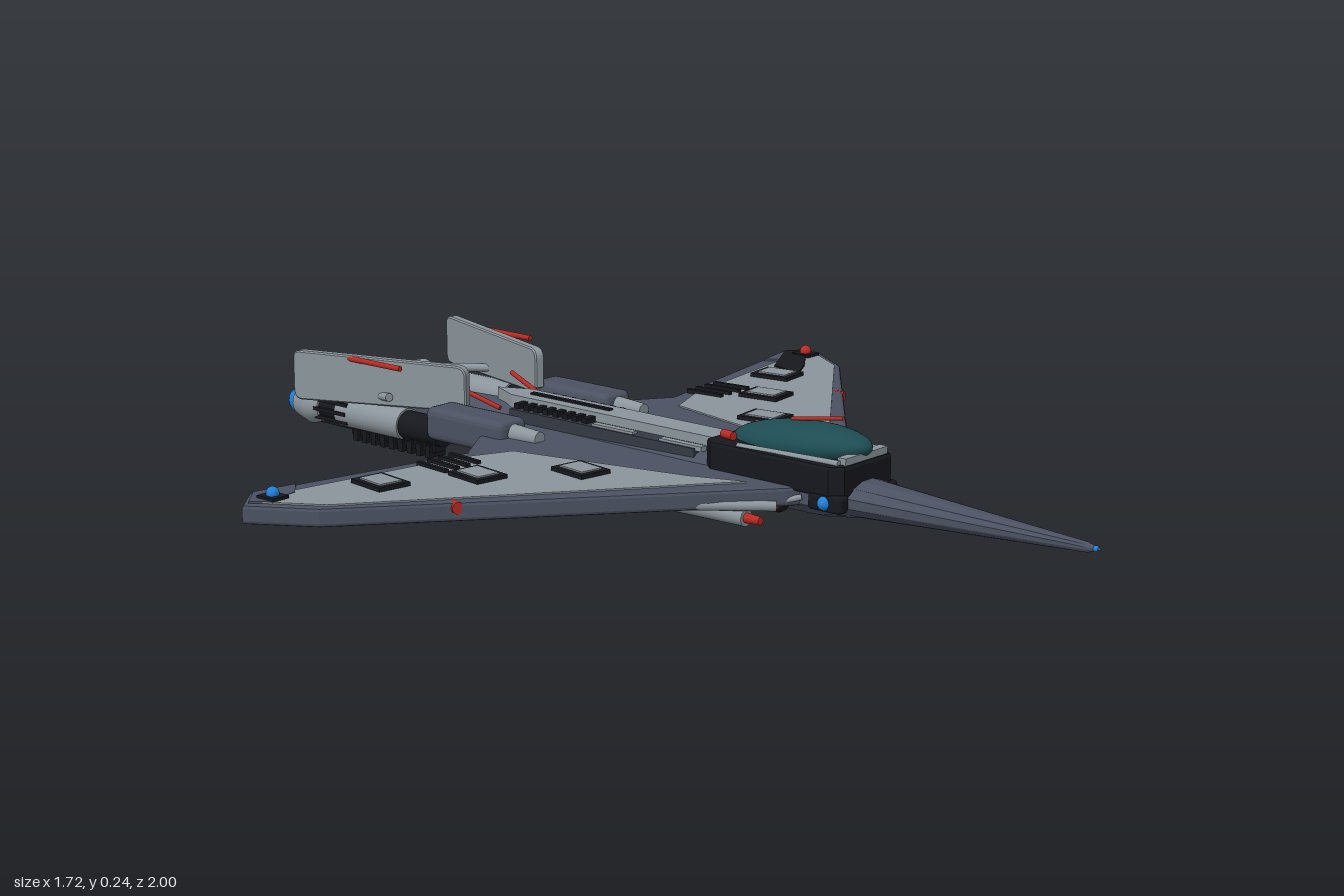
import * as THREE from 'three';
import { RoundedBoxGeometry } from 'three/addons/geometries/RoundedBoxGeometry.js';

const paint = (name, color, flatShading = false) => {
  const m = new THREE.MeshStandardMaterial({ color, flatShading });
  m.name = name;
  return m;
};

export function createModel() {
  const root = new THREE.Group();
  root.name = 'starfighter';
  const light = paint('light grey', 0x8b959b);
  const slate = paint('slate', 0x4b5161, true);
  const dark = paint('dark slate', 0x343944);
  const black = paint('black', 0x17181e);
  const red = paint('red', 0xb82a22);
  const blue = paint('blue glow', 0x2080d8);
  const teal = paint('canopy teal', 0x1d4c52);

  const add = (name, geo, mat, x = 0, y = 0, z = 0, ry = 0) => {
    const m = new THREE.Mesh(geo, mat);
    m.name = name;
    m.position.set(x, y, z);
    m.rotation.y = ry;
    root.add(m);
    return m;
  };
  const box = (name, mat, w, h, d, x, y, z, ry = 0) =>
    add(name, new THREE.BoxGeometry(w, h, d), mat, x, y, z, ry);
  const rbox = (name, mat, w, h, d, x, y, z, r = 0.01) =>
    add(name, new RoundedBoxGeometry(w, h, d, 2, r), mat, x, y, z);
  const ball = (name, mat, r, x, y, z) =>
    add(name, new THREE.SphereGeometry(r, 16, 12), mat, x, y, z);
  // cylinder lying along z, from front z0 to back z1
  const tube = (name, mat, r0, r1, z0, z1, x, y) =>
    add(name, new THREE.CylinderGeometry(r0, r1, z0 - z1, 20).rotateX(Math.PI / 2), mat, x, y, (z0 + z1) / 2);
  const rod = (name, mat, r, a, b) => {
    const p = new THREE.Vector3(...a), q = new THREE.Vector3(...b);
    const m = add(name, new THREE.CylinderGeometry(r, r, p.distanceTo(q), 10), mat);
    m.position.copy(p).add(q).multiplyScalar(0.5);
    m.quaternion.setFromUnitVectors(new THREE.Vector3(0, 1, 0), q.sub(p).normalize());
    return m;
  };
  // horizontal plate from [x, z] outline
  const plate = (name, mat, pts, s, y, h, bevel = 0) => {
    const shape = new THREE.Shape(pts.map(([x, z]) => new THREE.Vector2(s * x, -z)));
    const geo = new THREE.ExtrudeGeometry(shape, {
      depth: h, bevelEnabled: bevel > 0, bevelSize: bevel, bevelThickness: bevel, bevelOffset: -bevel, bevelSegments: 2,
    });
    return add(name, geo.rotateX(-Math.PI / 2), mat, 0, y);
  };
  // hull lofted from stations [z, half width, bottom, top], front to back
  const loft = (name, mat, stations, n = 12) => {
    const pos = [], idx = [];
    stations.forEach(([z, w, lo, hi], i) => {
      for (let j = 0; j < n; j++) {
        const a = ((j + 0.5) / n) * Math.PI * 2;
        pos.push(w * Math.cos(a) * 1.03, (lo + hi) / 2 + ((hi - lo) / 2) * Math.sin(a) * 1.03, z);
        if (i === 0) continue;
        const k = (j + 1) % n, p = (i - 1) * n, q = i * n;
        idx.push(p + j, q + j, p + k, p + k, q + j, q + k);
      }
    });
    const g = new THREE.BufferGeometry();
    g.setAttribute('position', new THREE.Float32BufferAttribute(pos, 3));
    g.setIndex(idx);
    g.computeVertexNormals();
    return add(name, g, mat);
  };

  // Fuselage with needle nose and tapering tail
  loft('fuselage', slate, [
    [1, 0.001, 0.087, 0.089], [0.97, 0.009, 0.078, 0.097], [0.47, 0.06, 0.052, 0.125],
    [0.4, 0.078, 0.042, 0.132], [0.1, 0.085, 0.04, 0.135], [-0.42, 0.075, 0.04, 0.13],
    [-0.82, 0.048, 0.05, 0.118], [-0.9, 0.042, 0.055, 0.113], [-0.9, 0.001, 0.084, 0.085]]);
  ball('noseTip', blue, 0.006, 0, 0.088, 0.988);

  // Belly tray and grille
  rbox('bellyTray', dark, 0.11, 0.04, 0.56, 0, 0.04, -0.08);
  for (const z of [-0.29, 0.05]) box('bellyPanel', black, 0.08, 0.008, 0.1, 0, 0.02, z);
  box('bellyGrille', light, 0.085, 0.012, 0.19, 0, 0.014, -0.175);
  for (let i = 0; i < 6; i++) box('grilleBar', black, 0.007, 0.008, 0.17, -0.035 + i * 0.014, 0.004, -0.175);

  // Dorsal spine
  plate('spine', light, [[-0.032, 0.15], [0.032, 0.15], [0.032, -0.43], [0, -0.5], [-0.032, -0.43]], 1, 0.12, 0.033);
  box('spineBed', dark, 0.136, 0.03, 0.5, 0, 0.119, -0.15);
  for (let i = 0; i < 8; i++) box('spineRib', black, 0.118, 0.03, 0.014, 0, 0.13, -0.2 - i * 0.027);
  box('spineVent', black, 0.012, 0.006, 0.22, 0, 0.154, -0.29);
  box('tailPanel', light, 0.062, 0.012, 0.13, 0, 0.118, -0.685);

  // Cockpit tub, canopy and trim
  plate('cockpitFrame', black, [[-0.072, 0.475], [0.072, 0.475], [0.09, 0.45], [0.09, 0.16],
    [0.07, 0.135], [-0.07, 0.135], [-0.09, 0.16], [-0.09, 0.45]], 1, 0.108, 0.048, 0.008);
  const canopy = add('canopy', new THREE.SphereGeometry(1, 32, 20), teal, 0, 0.172, 0.315);
  canopy.scale.set(0.066, 0.042, 0.165);
  canopy.rotation.x = -0.08;
  box('canopySill', light, 0.13, 0.014, 0.02, 0, 0.17, 0.462);
  rod('canopyStripe', red, 0.004, [0, 0.234, 0.415], [0, 0.213, 0.29]);

  for (const s of [1, -1]) {
    // Wing with raised skin panel
    plate('wing', slate, [[0.05, 0.39], [0.1, 0.36], [0.78, -0.2], [0.858, -0.325], [0.79, -0.382],
      [0.31, -0.285], [0.08, -0.44], [0.05, -0.44]], s, 0.078, 0.024, 0.007);
    plate('wingPanel', light, [[0.125, 0.28], [0.76, -0.2], [0.825, -0.305], [0.74, -0.325],
      [0.36, -0.262], [0.25, -0.215], [0.165, 0.17]], s, 0.105, 0.007);
    plate('wingTipCap', slate, [[0.74, -0.31], [0.82, -0.3], [0.842, -0.325], [0.79, -0.37], [0.7, -0.352]], s, 0.107, 0.006);
    for (const [x, z] of [[0.595, -0.23], [0.435, -0.13], [0.28, -0.005]]) {
      const a = s * 0.14;
      box('hatchFrame', black, 0.072, 0.012, 0.092, s * x, 0.114, z, a);
      box('hatchCover', light, 0.05, 0.006, 0.068, s * x, 0.12, z, a);
    }
    for (let i = 0; i < 4; i++)
      box('wingSlot', black, 0.01, 0.009, 0.088, s * (0.362 + i * 0.029), 0.114, -0.238, s * 0.1);
    // Navigation lights
    box('tipLightBase', black, 0.04, 0.012, 0.045, s * 0.795, 0.112, -0.31);
    ball('tipLight', s > 0 ? red : blue, 0.013, s * 0.795, 0.122, -0.31);
    rod('edgeLight', red, 0.012, [s * 0.568, 0.098, -0.075], [s * 0.583, 0.098, -0.035]);

    // Leading edge strut, gun and under-wing red spar
    rod('leadingStrut', light, 0.01, [s * 0.35, 0.085, 0.12], [s * 0.12, 0.075, 0.35]);
    rod('gunBrace', light, 0.006, [s * 0.08, 0.09, 0.38], [s * 0.16, 0.055, 0.26]);
    tube('gun', light, 0.017, 0.02, 0.31, 0.12, s * 0.16, 0.053);
    tube('gunTip', red, 0.008, 0.01, 0.345, 0.31, s * 0.16, 0.053);
    rod('redSpar', red, 0.0105, [s * 0.1, 0.05, -0.19], [s * 0.365, 0.052, -0.348]);

    // Cockpit side fittings
    rbox('sidePod', black, 0.03, 0.035, 0.08, s * 0.076, 0.09, 0.44, 0.008);
    ball('sidePodLight', blue, 0.014, s * 0.088, 0.09, 0.44);
    ball('sideSensor', black, 0.022, s * 0.088, 0.075, 0.33);
    ball('sideSensorLight', red, 0.01, s * 0.107, 0.072, 0.335);
    rod('cockpitRail', light, 0.007, [s * 0.07, 0.166, 0.46], [s * 0.078, 0.162, 0.22]);
    rod('canopyHinge', red, 0.009, [s * 0.055, 0.172, 0.19], [s * 0.05, 0.172, 0.16]);
    for (const z of [-0.12, 0.06]) box('spineSidePanel', light, 0.016, 0.01, 0.11, s * 0.056, 0.134, z);
    rod('tailAntenna', red, 0.005, [s * 0.065, 0.13, -0.43], [s * 0.083, 0.163, -0.54]);

    // Side engine body
    const x = s * 0.157;
    tube('engineIntake', light, 0.015, 0.02, -0.23, -0.31, x, 0.115);
    rbox('nacelle', slate, 0.08, 0.07, 0.22, x, 0.108, -0.41, 0.016);
    tube('engineNeck', black, 0.03, 0.03, -0.5, -0.63, x, 0.083);
    tube('enginePipe', light, 0.034, 0.034, -0.61, -0.8, x, 0.083);
    box('engineKeel', black, 0.03, 0.02, 0.25, x, 0.05, -0.64);
    for (let i = 0; i < 9; i++) box('coolingFin', black, 0.046, 0.026, 0.014, x, 0.042, -0.53 - i * 0.027);

    // Canted tail fin with red bar
    const fin = new THREE.Shape();
    fin.moveTo(0, 0.135);
    fin.lineTo(0.03, 0.122);
    fin.lineTo(0.39, 0.112);
    fin.quadraticCurveTo(0.41, 0.112, 0.41, 0.135);
    fin.lineTo(0.41, 0.2);
    fin.quadraticCurveTo(0.41, 0.218, 0.39, 0.218);
    fin.lineTo(0.025, 0.218);
    fin.quadraticCurveTo(0, 0.218, 0, 0.195);
    const finGeo = new THREE.ExtrudeGeometry(fin, { depth: 0.016, bevelEnabled: true, bevelSize: 0.003, bevelThickness: 0.003, bevelOffset: -0.003, bevelSegments: 1 });
    finGeo.translate(0, 0, -0.008);
    add('tailFin', finGeo, light, s * 0.108, 0, -0.48, Math.atan2(0.39, s * 0.122));
    rod('finBar', red, 0.006, [s * 0.194, 0.211, -0.59], [s * 0.196, 0.211, -0.765]);
    rod('finBrace', light, 0.009, [s * 0.125, 0.12, -0.86], [s * 0.18, 0.14, -0.64]);
  }

  // Exhausts: ribbed collar, bell and glowing core
  for (const [x, z, r] of [[0, -0.9, 0.042], [0.157, -0.865, 0.04], [-0.157, -0.865, 0.04]]) {
    tube('exhaustCollar', black, r * 0.72, r * 0.72, z + 0.09, z, x, 0.084);
    for (let i = 0; i < 10; i++) {
      const a = (i / 10) * Math.PI * 2;
      box('collarRib', black, 0.008, 0.008, 0.1, x + Math.cos(a) * r * 0.8, 0.084 + Math.sin(a) * r * 0.8, z + 0.05);
    }
    tube('exhaustBell', light, r * 0.85, r * 1.08, z + 0.012, z - 0.025, x, 0.084);
    tube('exhaustRim', light, r * 1.08, r * 0.82, z - 0.025, z - 0.065, x, 0.084);
    ball('exhaustGlow', blue, 0.029, x, 0.084, z - 0.071);
  }

  // Dark service plate on the left wing tip
  plate('tipServicePlate', black, [[0.63, -0.2], [0.71, -0.245], [0.83, -0.335], [0.79, -0.365], [0.66, -0.29]], 1, 0.109, 0.007);
  return root;
}
